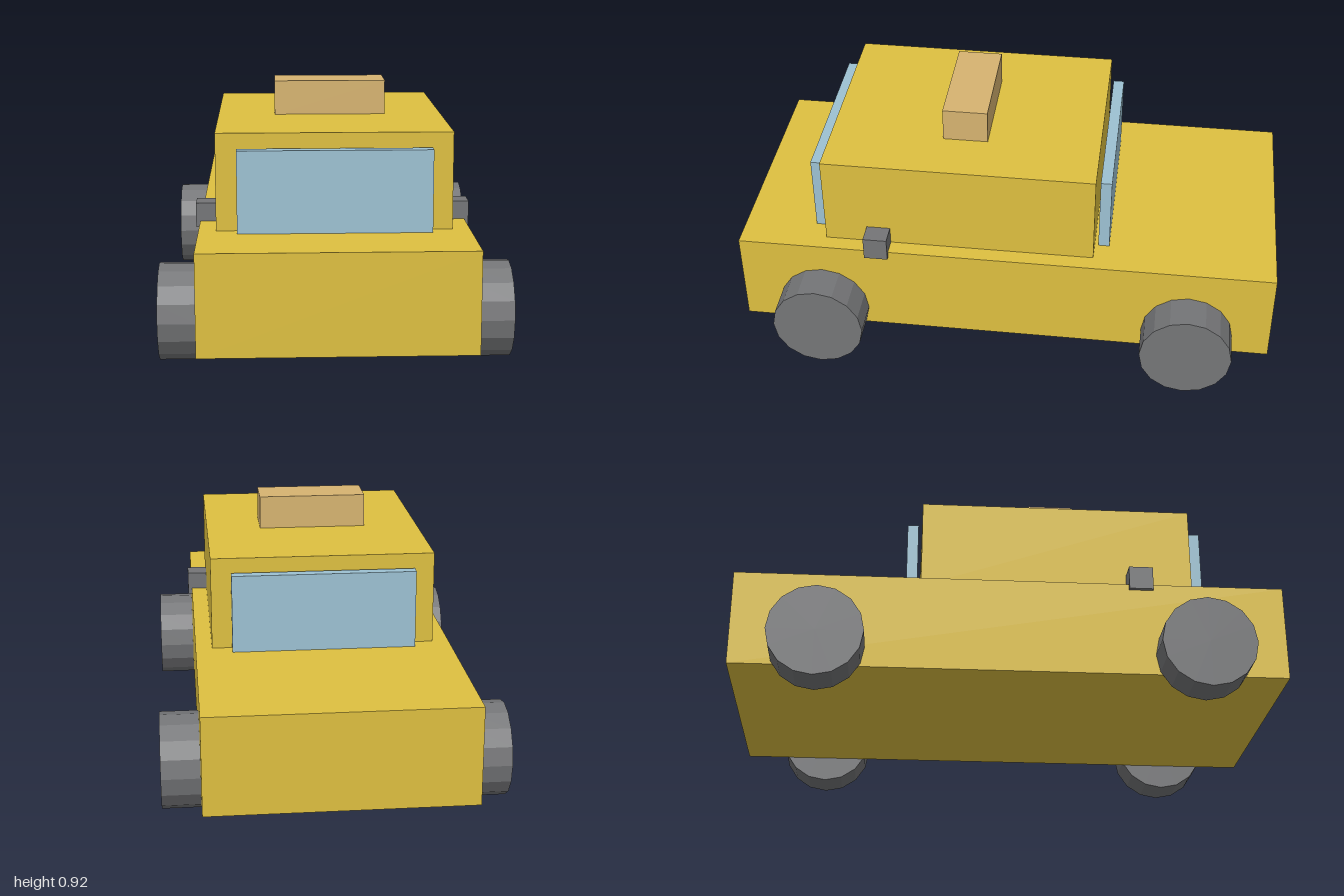
import * as THREE from 'three';

const paint = (color) => new THREE.MeshStandardMaterial({ color, flatShading: true });

export function createModel() {
  const car = new THREE.Group();
  car.name = 'taxi';
  const yellow = paint(0xddbf40);
  const glass = paint(0x9cc1d2);
  const amber = paint(0xd6b370);
  const dark = paint(0x747577);

  const add = (name, geometry, material, x, y, z) => {
    const mesh = new THREE.Mesh(geometry, material);
    mesh.name = name;
    mesh.position.set(x, y, z);
    car.add(mesh);
  };
  const box = (w, h, d) => new THREE.BoxGeometry(w, h, d);

  // Lower body, cabin and roof sign
  const cabinZ = 0.175;
  add('body', box(0.946, 0.357, 2), yellow, 0, 0.273, 0);
  add('cabin', box(0.824, 0.343, 1.004), yellow, 0, 0.623, cabinZ);
  add('roofSign', box(0.408, 0.125, 0.166), amber, 0, 0.857, 0.173);

  // Window panes standing just off the cabin's front and back
  const pane = box(0.676, 0.29, 0.041);
  add('windshield', pane, glass, 0, 0.597, cabinZ + 0.536);
  add('rearWindow', pane, glass, 0, 0.597, cabinZ - 0.536);

  // Side mirrors and wheels
  const mirror = box(0.088, 0.088, 0.088);
  const wheel = new THREE.CylinderGeometry(0.17, 0.17, 0.137, 16).rotateZ(Math.PI / 2);
  for (const [side, s] of [['left', 1], ['right', -1]]) {
    add(side + 'Mirror', mirror, dark, s * 0.444, 0.473, 0.476);
    add(side + 'FrontWheel', wheel, dark, s * 0.541, 0.171, 0.69);
    add(side + 'RearWheel', wheel, dark, s * 0.541, 0.171, -0.69);
  }
  return car;
}
